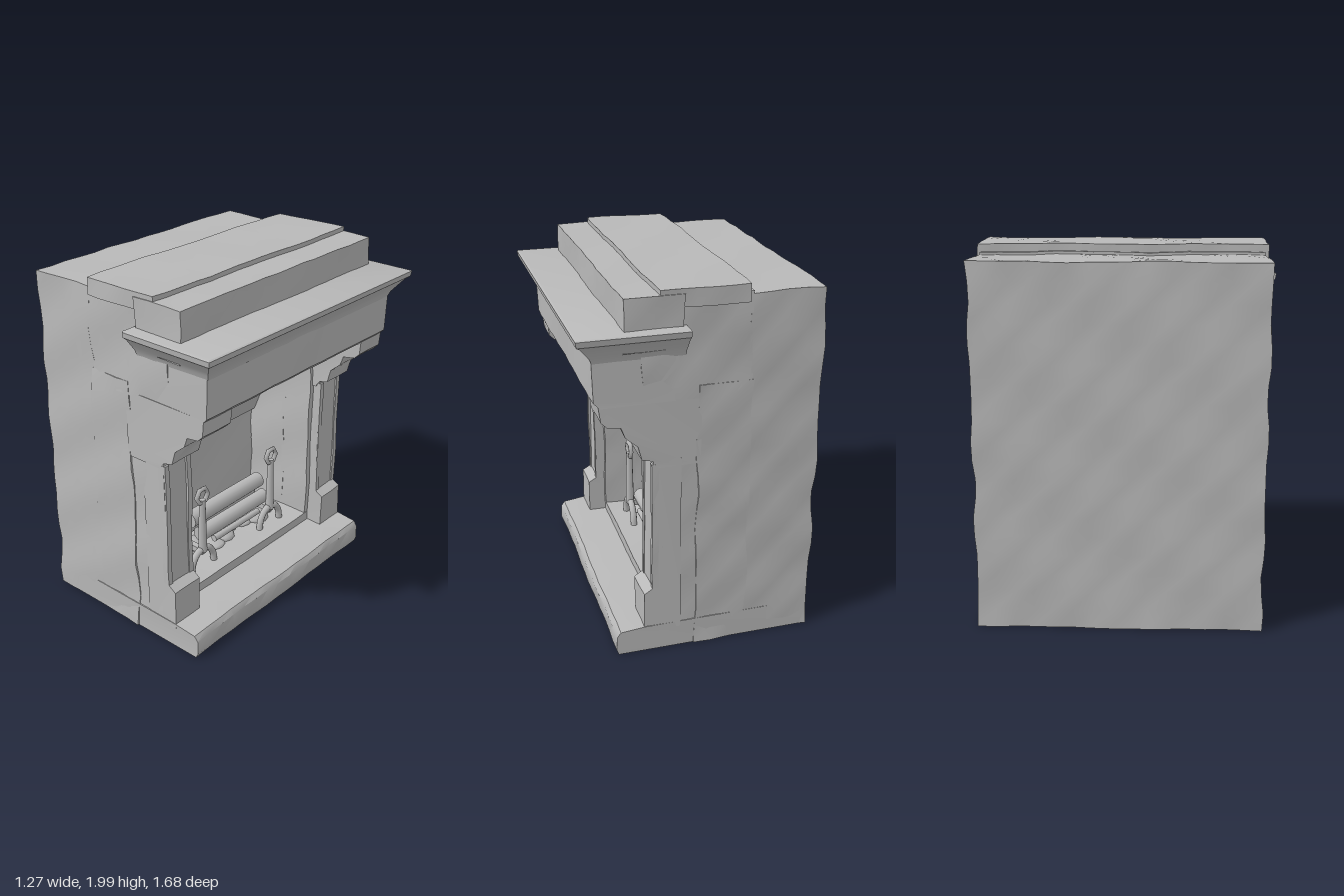
import * as THREE from 'three';
import { toCreasedNormals } from 'three/addons/utils/BufferGeometryUtils.js';

const stone = new THREE.MeshStandardMaterial({ color: 0xb8b8b8 });
stone.name = 'grey stone';

// Gentle unevenness of worn stone; the same point always moves the same way
function weather(geo, amount = 0.006) {
  const p = geo.attributes.position;
  for (let i = 0; i < p.count; i++) {
    const x = p.getX(i), y = p.getY(i), z = p.getZ(i);
    const a = Math.sin(11 * y + 7 * z + 3 * x) + 0.6 * Math.sin(23 * z - 17 * y + 9 * x);
    const b = Math.sin(9 * x - 13 * y + 2 * z) + 0.6 * Math.sin(21 * x + 19 * y);
    const c = Math.sin(8 * z + 10 * x) + 0.5 * Math.sin(19 * z - 6 * x);
    p.setXYZ(i, x + a * amount, y < 0.01 ? y : y + c * amount * 0.6, z + b * amount);
  }
  return toCreasedNormals(geo, 0.6);
}

export function createModel() {
  const model = new THREE.Group();
  model.name = 'fireplace';

  function add(geo, name, parent = model) {
    const mesh = new THREE.Mesh(geo, stone);
    mesh.name = name;
    parent.add(mesh);
    return mesh;
  }

  // Subdivided block given by its limits
  function block(name, x0, x1, y0, y1, z0, z1, amount) {
    const seg = (d) => Math.max(1, Math.round(d / 0.1));
    const g = new THREE.BoxGeometry(x1 - x0, y1 - y0, z1 - z0, seg(x1 - x0), seg(y1 - y0), seg(z1 - z0));
    g.translate((x0 + x1) / 2, (y0 + y1) / 2, (z0 + z1) / 2);
    return add(weather(g, amount), name);
  }

  // Side profile (x, y) drawn along z
  function profile(name, pts, z0, z1, amount) {
    const shape = new THREE.Shape(pts.map(([x, y]) => new THREE.Vector2(x, y)));
    const g = new THREE.ExtrudeGeometry(shape, {
      depth: z1 - z0, bevelEnabled: false, steps: Math.max(1, Math.round((z1 - z0) / 0.1)),
    });
    g.translate(0, 0, z0);
    return add(weather(g, amount), name);
  }

  // Masonry body around the firebox
  block('backMass', -0.625, -0.24, 0, 1.935, -0.75, 0.75);
  block('upperMass', -0.25, 0.3, 1.43, 1.95, -0.75, 0.75);
  block('chimneyTop', -0.23, 0.22, 1.9, 1.99, -0.765, 0.765, 0.004);
  block('chimneyBreast', 0.1, 0.395, 1.7, 1.965, -0.77, 0.77, 0.004);
  profile('fireback', [[-0.26, 0.8], [-0.22, 0.8], [-0.1, 1.1], [0.12, 1.44], [-0.26, 1.44]], -0.54, 0.54, 0.002);

  // Hearth
  profile('hearthSlab', [[-0.61, 0], [0.44, 0], [0.452, 0.03], [0.45, 0.11], [0.43, 0.138], [0.3, 0.15], [-0.61, 0.15]],
    -0.75, 0.75, 0.003);
  block('fireboxFloor', -0.26, 0.2, 0.1, 0.205, -0.55, 0.55, 0.002);

  // Lintel and frieze
  profile('frieze', [[0.12, 1.43], [0.51, 1.43], [0.54, 1.46], [0.545, 1.68], [0.545, 1.74], [0.12, 1.74]],
    -0.75, 0.75, 0.003);

  // Jambs, pilasters and stepped corbels, one set on each side
  for (const [side, s] of [['left', 1], ['right', -1]]) {
    const span = (a, b) => (s > 0 ? [a, b] : [-b, -a]);
    block(side + 'SideWall', -0.26, 0.02, 0, 1.5, ...span(0.53, 0.752));
    block(side + 'Jamb', 0, 0.2, 0.1, 1.45, ...span(0.53, 0.745), 0.004);
    profile(side + 'Pilaster', [[0.1, 0.12], [0.3, 0.12], [0.3, 0.35], [0.25, 0.38], [0.245, 1.12], [0.1, 1.12]],
      ...span(0.56, 0.748), 0.003);
    for (const z of [0.575, 0.735])
      block(side + 'PilasterRib', 0.22, 0.256, 0.38, 1.1, ...span(z - 0.015, z + 0.015), 0.002);
    profile(side + 'Corbel', [[0, 1.08], [0.22, 1.08], [0.25, 1.12], [0.305, 1.135], [0.325, 1.21], [0.39, 1.265],
      [0.41, 1.32], [0.48, 1.33], [0.51, 1.36], [0.52, 1.45], [0, 1.45]], ...span(0.55, 0.75), 0.003);
  }

  // Moulded mantel shelf: rectangles stacked with a growing overhang
  const levels = [[1.66, 0], [1.69, 0.012], [1.72, 0.035], [1.76, 0.065], [1.775, 0.085], [1.805, 0.09], [1.81, 0.08]];
  const ring = ([y, o]) => [[0.085, y, 0.75 + o], [0.545 + o, y, 0.75 + o], [0.545 + o, y, -0.75 - o], [0.085, y, -0.75 - o]];
  const tri = [];
  const quad = (a, b, c, d) => tri.push(...a, ...b, ...c, ...a, ...c, ...d);
  for (let i = 0; i < levels.length - 1; i++) {
    const lo = ring(levels[i]), hi = ring(levels[i + 1]);
    for (let k = 0; k < 4; k++) quad(lo[k], lo[(k + 1) % 4], hi[(k + 1) % 4], hi[k]);
  }
  quad(...ring(levels[levels.length - 1]));
  quad(...ring(levels[0]).reverse());
  const shelf = new THREE.BufferGeometry();
  shelf.setAttribute('position', new THREE.Float32BufferAttribute(tri, 3));
  add(toCreasedNormals(shelf, 0.5), 'mantelShelf');

  // Andirons with ring finials and arched feet
  for (const z of [0.31, -0.3]) {
    const iron = new THREE.Group();
    iron.name = 'andiron';
    iron.position.set(0.1, 0, z);
    model.add(iron);
    add(new THREE.CylinderGeometry(0.018, 0.026, 0.34, 8), 'post', iron).position.y = 0.48;
    const finial = add(new THREE.TorusGeometry(0.046, 0.014, 6, 6), 'finial', iron);
    finial.position.y = 0.675;
    finial.rotation.y = Math.PI / 2;
    const arch = new THREE.CatmullRomCurve3([[0.2, -0.095], [0.26, -0.085], [0.31, -0.05], [0.325, 0], [0.31, 0.05], [0.26, 0.085], [0.2, 0.095]]
      .map(([y, w]) => new THREE.Vector3(0, y, w)));
    add(new THREE.TubeGeometry(arch, 20, 0.02, 8), 'feet', iron);
    add(new THREE.BoxGeometry(0.28, 0.035, 0.035), 'logBar', iron).position.set(-0.13, 0.31, 0);
    add(new THREE.BoxGeometry(0.035, 0.11, 0.035), 'rearFoot', iron).position.set(-0.25, 0.255, 0);
  }

  // Logs and cross rail, lying along z
  for (const [name, x, y, r, len] of [['frontLog', 0.04, 0.375, 0.046, 0.58], ['backLog', -0.08, 0.375, 0.05, 0.6],
    ['topLog', -0.02, 0.455, 0.05, 0.62], ['crossRail', 0.07, 0.315, 0.02, 0.4]]) {
    const log = add(new THREE.CylinderGeometry(r, r * 0.95, len, 12), name);
    log.rotation.x = Math.PI / 2;
    log.position.set(x, y, -0.02);
  }

  // Ash heap on the firebox floor
  for (let i = 0; i < 9; i++) {
    const ash = add(new THREE.IcosahedronGeometry(1, 1), 'ash');
    ash.scale.set(0.09, 0.04 + 0.015 * Math.sin(i * 2.3), 0.085);
    ash.position.set(-0.06 + 0.04 * Math.sin(i * 1.7), 0.205, -0.4 + i * 0.1);
  }
  return model;
}
